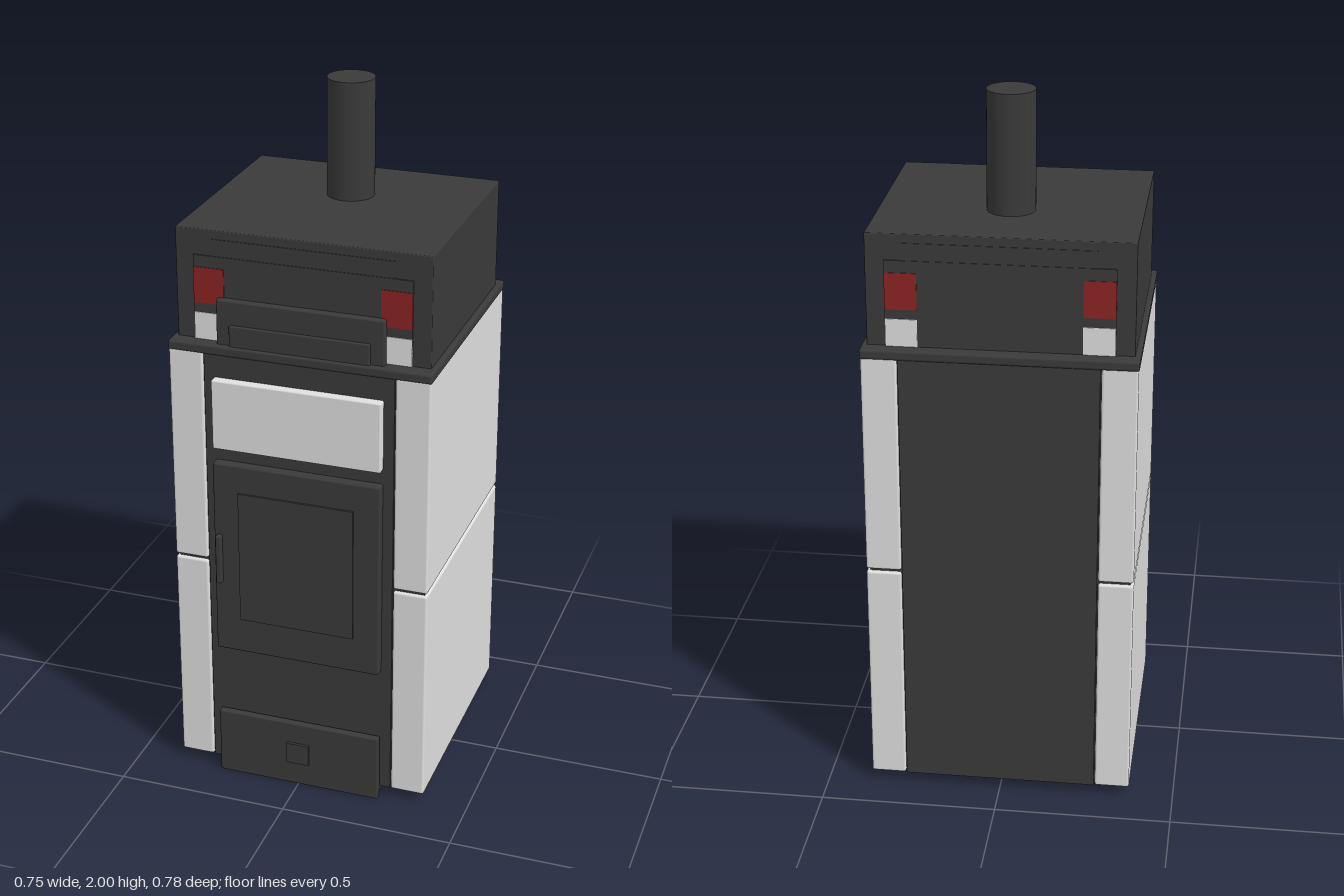
import * as THREE from 'three';
import { RoundedBoxGeometry } from 'three/addons/geometries/RoundedBoxGeometry.js';

export function createModel() {
  const model = new THREE.Group();
  model.name = 'stove';
  const mat = (name, color) => {
    const m = new THREE.MeshStandardMaterial({ color });
    m.name = name;
    return m;
  };
  const iron = mat('dark iron', 0x3a3a3a);
  const stone = mat('pale stone', 0xe0e0e0);
  const red = mat('red', 0x8c2323);

  // Box given by its limits on each axis, with an optional edge radius
  const box = (name, material, [x0, x1], [y0, y1], [z0, z1], radius = 0) => {
    const size = [x1 - x0, y1 - y0, z1 - z0];
    const geometry = radius
      ? new RoundedBoxGeometry(...size, 2, radius)
      : new THREE.BoxGeometry(...size);
    const mesh = new THREE.Mesh(geometry, material);
    mesh.name = name;
    mesh.position.set((x0 + x1) / 2, (y0 + y1) / 2, (z0 + z1) / 2);
    model.add(mesh);
  };
  const wide = (half) => [-half, half];

  // Firebox: inner core, the column seen front and back, and the floor
  box('core', iron, wide(0.364), [0.04, 1.33], [-0.376, 0.334]);
  box('column', iron, wide(0.272), [0.03, 1.33], [-0.386, 0.34]);
  box('floor', iron, wide(0.355), [0.028, 0.05], [-0.372, 0.325]);
  box('frontFoot', iron, wide(0.24), [0.007, 0.03], [0.31, 0.332]);

  // Two stacked stone panels on each side
  for (const side of [-1, 1]) {
    const x = side > 0 ? [0.275, 0.374] : [-0.374, -0.275];
    box('lowerSidePanel', stone, x, [0.03, 0.683], [-0.387, 0.344], 0.007);
    box('upperSidePanel', stone, x, [0.691, 1.328], [-0.387, 0.344], 0.007);
  }

  // Top slab, upper housing and flue
  box('topSlab', iron, wide(0.376), [1.322, 1.35], [-0.39, 0.345], 0.007);
  box('upperHousing', iron, wide(0.361), [1.345, 1.665], [-0.348, 0.302], 0.003);
  const flue = new THREE.Mesh(new THREE.CylinderGeometry(0.067, 0.067, 0.345, 48), iron);
  flue.name = 'flue';
  flue.position.set(0, 1.8275, -0.103);
  model.add(flue);

  // Housing faces, alike at front and back
  for (const [face, dir] of [[0.302, 1], [-0.348, -1]]) {
    const depth = (d) => [face - dir * 0.002, face + dir * d].sort((a, b) => a - b);
    box('housingPanel', iron, wide(0.309), [1.35, 1.592], depth(0.004));
    box('housingStrip', iron, wide(0.26), [1.592, 1.64], depth(0.002));
    for (const x of [[0.222, 0.309], [-0.309, -0.222]]) {
      box('redInset', red, x, [1.455, 1.558], depth(0.006));
      box('paleInset', stone, x, [1.35, 1.428], depth(0.006));
    }
  }
  box('upperStep', iron, wide(0.238), [1.345, 1.478], [0.3, 0.328], 0.004);
  box('lowerStep', iron, wide(0.2), [1.345, 1.41], [0.32, 0.336], 0.004);

  // Stone plate and firebox door with window and handle
  box('stonePlate', stone, wide(0.243), [1.052, 1.258], [0.338, 0.367], 0.005);
  box('door', iron, wide(0.243), [0.42, 1.01], [0.338, 0.37], 0.005);
  box('doorWindow', iron, wide(0.168), [0.528, 0.928], [0.366, 0.376]);
  box('doorHandle', iron, [-0.235, -0.219], [0.64, 0.79], [0.366, 0.387], 0.004);

  // Ash drawer and its knob
  box('ashDrawer', iron, wide(0.243), [0, 0.205], [0.345, 0.368], 0.005);
  box('ashDrawerNeck', iron, wide(0.225), [0.035, 0.19], [0.335, 0.35]);
  box('drawerKnob', iron, wide(0.034), [0.075, 0.14], [0.364, 0.376]);

  return model;
}
